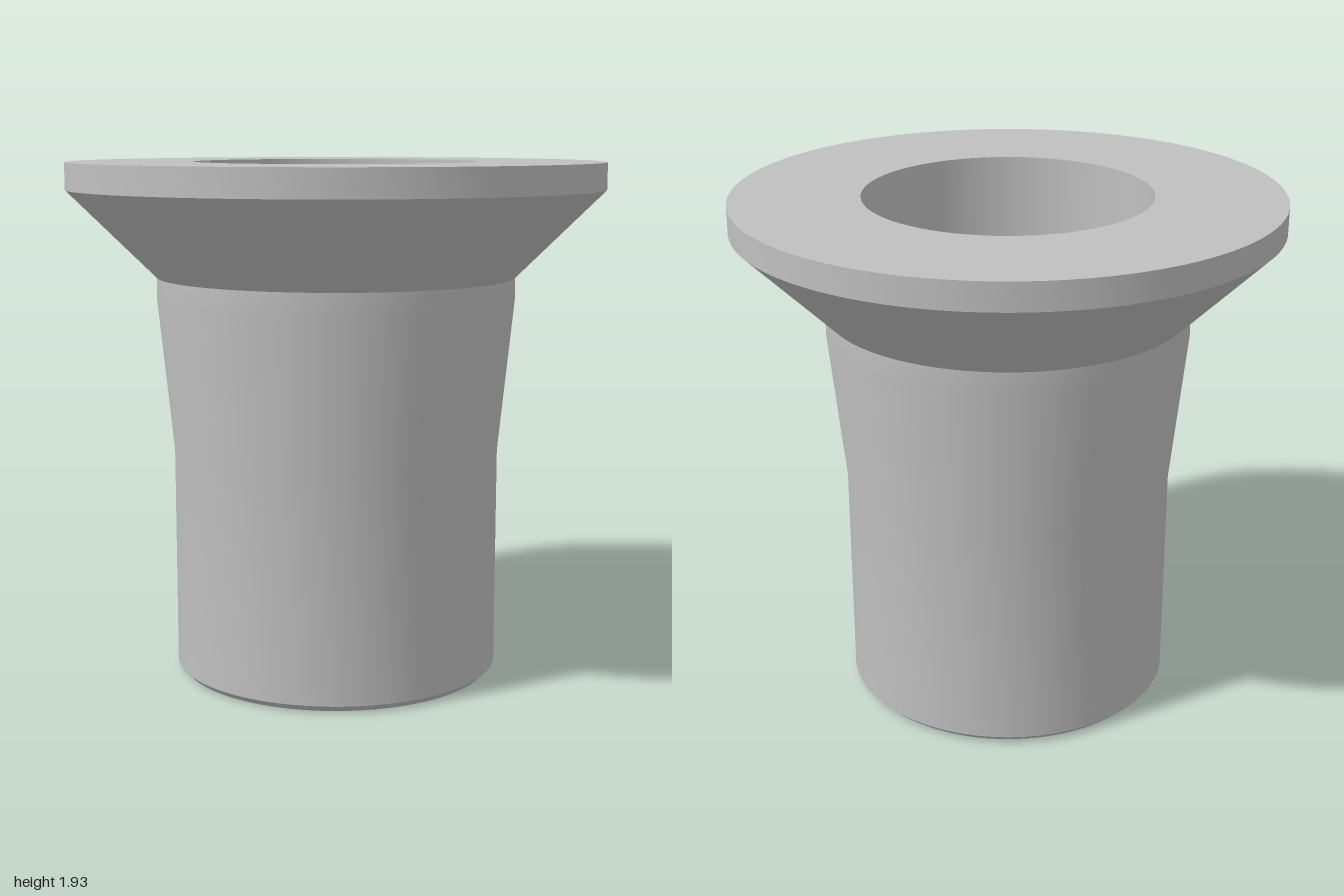
import * as THREE from 'three';
import { toCreasedNormals } from 'three/addons/utils/BufferGeometryUtils.js';

const BORE = 0.527, HUB_R = 0.097, HUB_HOLE = 0.052, WEB_H = 0.075;

// Closed ring profile turned about y, smooth around and sharp at its corners
function turned(profile, segments) {
  const points = profile.map(([r, y]) => new THREE.Vector2(r, y));
  points.push(points[0].clone());
  return toCreasedNormals(new THREE.LatheGeometry(points, segments), Math.PI / 6);
}

export function createModel() {
  const group = new THREE.Group();
  const grey = new THREE.MeshStandardMaterial({ color: 0xc0c0c0 });
  grey.name = 'plain grey';

  const add = (name, geometry) => {
    const mesh = new THREE.Mesh(geometry, grey);
    mesh.name = name;
    group.add(mesh);
    return mesh;
  };

  // Sleeve with chamfered foot, widening neck and flared flange
  add('flangedSleeve', turned([
    [BORE, 0], [0.59, 0], [0.615, 0.025], [0.615, 0.85], [0.672, 1.42],
    [0.672, 1.505], [1, 1.83], [1, 1.93], [BORE, 1.93],
  ], 96));

  // Small pierced hub at the foot
  add('hub', turned([
    [HUB_HOLE, 0], [HUB_R, 0], [HUB_R, WEB_H], [HUB_HOLE, WEB_H],
  ], 48));

  // Four spokes joining the hub to the bore
  const inner = HUB_R - 0.008, outer = BORE + 0.008;
  for (let i = 0; i < 4; i++) {
    const geometry = new THREE.BoxGeometry(outer - inner, WEB_H, 0.05);
    geometry.translate((inner + outer) / 2, WEB_H / 2, 0);
    add('spoke', geometry).rotation.y = i * Math.PI / 2;
  }

  return group;
}
